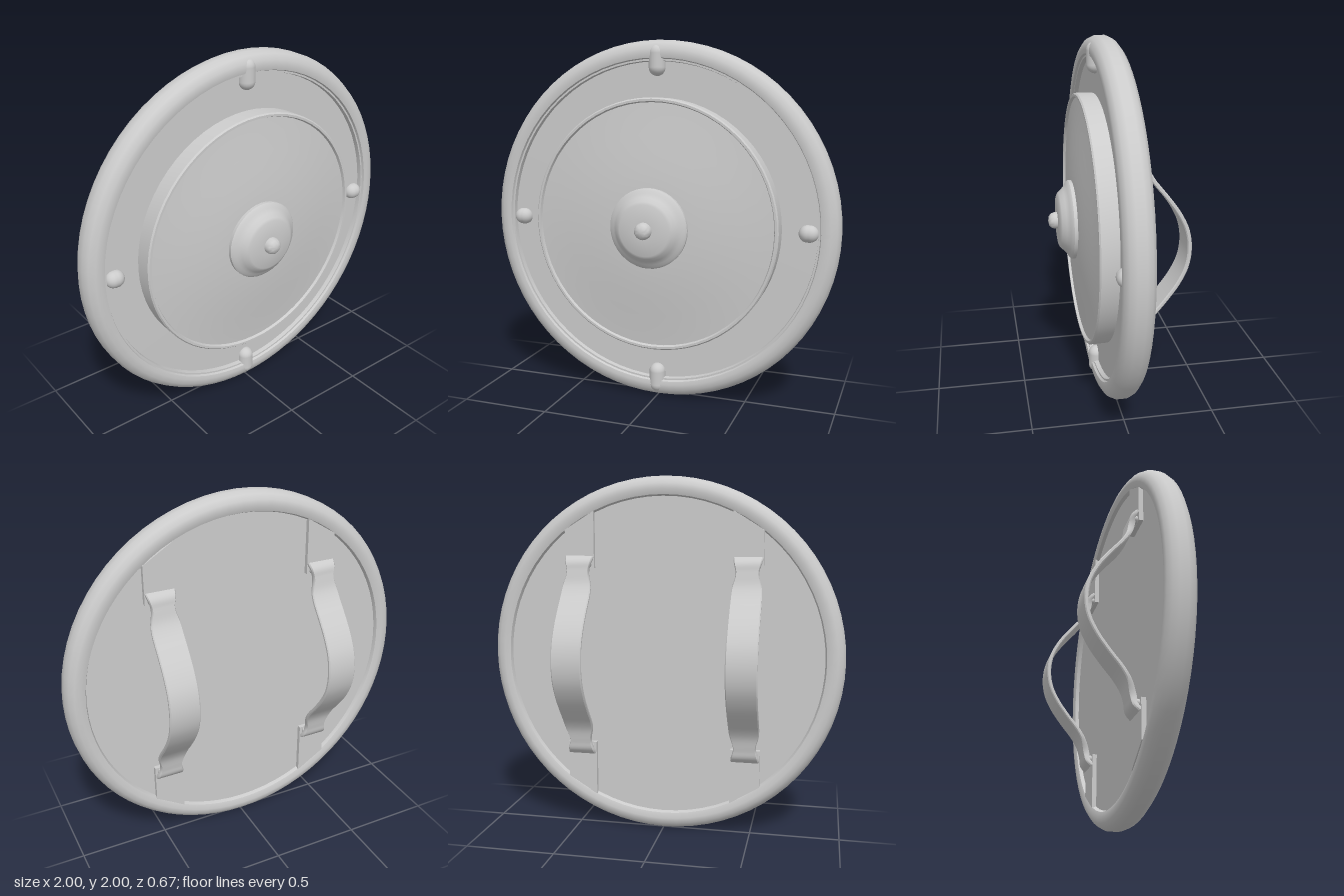
import * as THREE from 'three';
import { toCreasedNormals } from 'three/addons/utils/BufferGeometryUtils.js';

const material = new THREE.MeshStandardMaterial({ color: 0xcccccc });
const CENTRE_Y = 1;

function addMesh(parent, name, geometry) {
  const mesh = new THREE.Mesh(geometry, material);
  mesh.name = name;
  parent.add(mesh);
  return mesh;
}

// Turned part around the front-to-back axis, profile given as [radius, z]
function turned(profile, segments = 64) {
  const points = profile.map(([r, z]) => new THREE.Vector2(r, z));
  const geometry = new THREE.LatheGeometry(points, segments).rotateX(Math.PI / 2);
  return toCreasedNormals(geometry, 0.7);
}

// Ribbon of rounded-rectangle sections swept along a curve in the y-z plane
function strapGeometry() {
  const half = [[0.56, -0.05], [0.53, -0.075], [0.49, -0.08], [0.42, -0.1], [0.36, -0.135],
    [0.28, -0.2], [0.19, -0.265], [0.1, -0.308]];
  const path = [...half, [0, -0.323], ...half.map(([y, z]) => [-y, z]).reverse()];
  const curve = new THREE.CatmullRomCurve3(path.map(([y, z]) => new THREE.Vector3(0, y, z)));
  const section = [[-1, -0.5], [-0.93, -1], [0.93, -1], [1, -0.5], [1, 0.5], [0.93, 1], [-0.93, 1], [-1, 0.5]];
  const steps = 64, n = section.length, positions = [], indices = [];
  for (let i = 0; i <= steps; i++) {
    const t = i / steps;
    const p = curve.getPoint(t), d = curve.getTangent(t);
    // The band is pinched near its two fixings
    const pinch = Math.exp(-(((Math.abs(p.y) - 0.48) / 0.06) ** 2));
    const w = 0.084 - 0.022 * pinch, h = 0.011 + 0.006 * pinch;
    for (const [a, b] of section) positions.push(a * w, p.y - d.z * b * h, p.z + d.y * b * h);
  }
  for (let i = 0; i < steps; i++) {
    for (let j = 0; j < n; j++) {
      const a = i * n + j, b = i * n + (j + 1) % n;
      indices.push(a, a + n, b, b, a + n, b + n);
    }
  }
  // End caps
  const last = steps * n;
  for (let j = 1; j < n - 1; j++) {
    indices.push(0, j, j + 1, last, last + j + 1, last + j);
  }
  const geometry = new THREE.BufferGeometry();
  geometry.setAttribute('position', new THREE.Float32BufferAttribute(positions, 3));
  // Keep faces outward whatever the sweep direction
  const flipped = [];
  for (let i = 0; i < indices.length; i += 3) flipped.push(indices[i], indices[i + 2], indices[i + 1]);
  geometry.setIndex(signedVolume(positions, indices) > 0 ? indices : flipped);
  return toCreasedNormals(geometry, 0.7);
}

function signedVolume(p, indices) {
  const v = (i) => new THREE.Vector3(p[3 * i], p[3 * i + 1], p[3 * i + 2]);
  let sum = 0;
  for (let i = 0; i < indices.length; i += 3) {
    sum += v(indices[i]).dot(v(indices[i + 1]).cross(v(indices[i + 2])));
  }
  return sum;
}

export function createModel() {
  const model = new THREE.Group();
  model.name = 'roundShield';

  const body = new THREE.Group();
  body.name = 'shieldBody';
  body.position.y = CENTRE_Y;
  model.add(body);

  // Heavy rounded rim with a thin inner lip
  addMesh(body, 'rim', turned([
    [0.89, -0.02], [0.9, -0.045], [0.93, -0.055], [0.96, -0.05], [0.985, -0.03],
    [1, 0.0], [1, 0.045], [0.985, 0.078], [0.955, 0.098], [0.925, 0.102],
    [0.905, 0.098], [0.9, 0.085], [0.89, 0.085], [0.885, 0.05], [0.89, -0.02],
  ], 72));

  // Flat board
  addMesh(body, 'board', turned([[0, -0.025], [0.92, -0.025], [0.92, 0.06], [0, 0.07]]));

  // Raised centre disc: upright edge, narrow lip, shallow dome
  addMesh(body, 'centreDisc', turned([
    [0.695, 0.05], [0.697, 0.155], [0.69, 0.163], [0.678, 0.163], [0.672, 0.148],
    [0.6, 0.155], [0.5, 0.168], [0.4, 0.18], [0.3, 0.191], [0.2, 0.198], [0, 0.2],
  ]));

  // Stepped boss with a small knob
  addMesh(body, 'boss', turned([
    [0.218, 0.17], [0.22, 0.215], [0.21, 0.226], [0.195, 0.232], [0.175, 0.25],
    [0.155, 0.272], [0.14, 0.28], [0.05, 0.284], [0, 0.284],
  ], 40));
  addMesh(body, 'knob', turned([
    [0.046, 0.27], [0.046, 0.3], [0.04, 0.317], [0.026, 0.329], [0, 0.334],
  ], 24));

  // Four studs around the outer band; the upper and lower ones run into the rim
  for (let i = 0; i < 4; i++) {
    const long = i % 2 === 1;
    const holder = new THREE.Group();
    holder.name = 'studHolder';
    holder.rotation.z = i * Math.PI / 2;
    const geometry = new THREE.CapsuleGeometry(0.046, long ? 0.075 : 0.012, 8, 20).rotateZ(Math.PI / 2);
    addMesh(holder, 'stud', geometry).position.set(long ? 0.892 : 0.836, 0, 0.066);
    body.add(holder);
  }

  // Two arm straps with their flat mounting strips on the back
  const strap = strapGeometry();
  for (const side of [-1, 1]) {
    const grip = new THREE.Group();
    grip.name = side > 0 ? 'leftGrip' : 'rightGrip';
    grip.position.x = side * 0.47;
    body.add(grip);
    addMesh(grip, 'strap', strap);
    for (const end of [-1, 1]) {
      // Strip reaching outward to the rim, cut along the circle
      const x0 = -0.083, x1 = 0.083;
      const reach = (x) => Math.sqrt(0.9 ** 2 - (0.47 + side * x) ** 2);
      const shape = new THREE.Shape([
        [x0, end * 0.5], [x1, end * 0.5], [x1, end * reach(x1)], [x0, end * reach(x0)],
      ].map(([x, y]) => new THREE.Vector2(x, y)));
      const strip = new THREE.ExtrudeGeometry(shape, { depth: 0.035, bevelEnabled: false });
      addMesh(grip, 'mountingStrip', strip).position.z = -0.05;
      // Folded roll where the strap meets the strip
      const fold = new THREE.CapsuleGeometry(0.02, 0.1, 6, 14).rotateZ(Math.PI / 2);
      addMesh(grip, 'strapFold', fold).position.set(0, end * 0.52, -0.058);
    }
  }

  return model;
}
